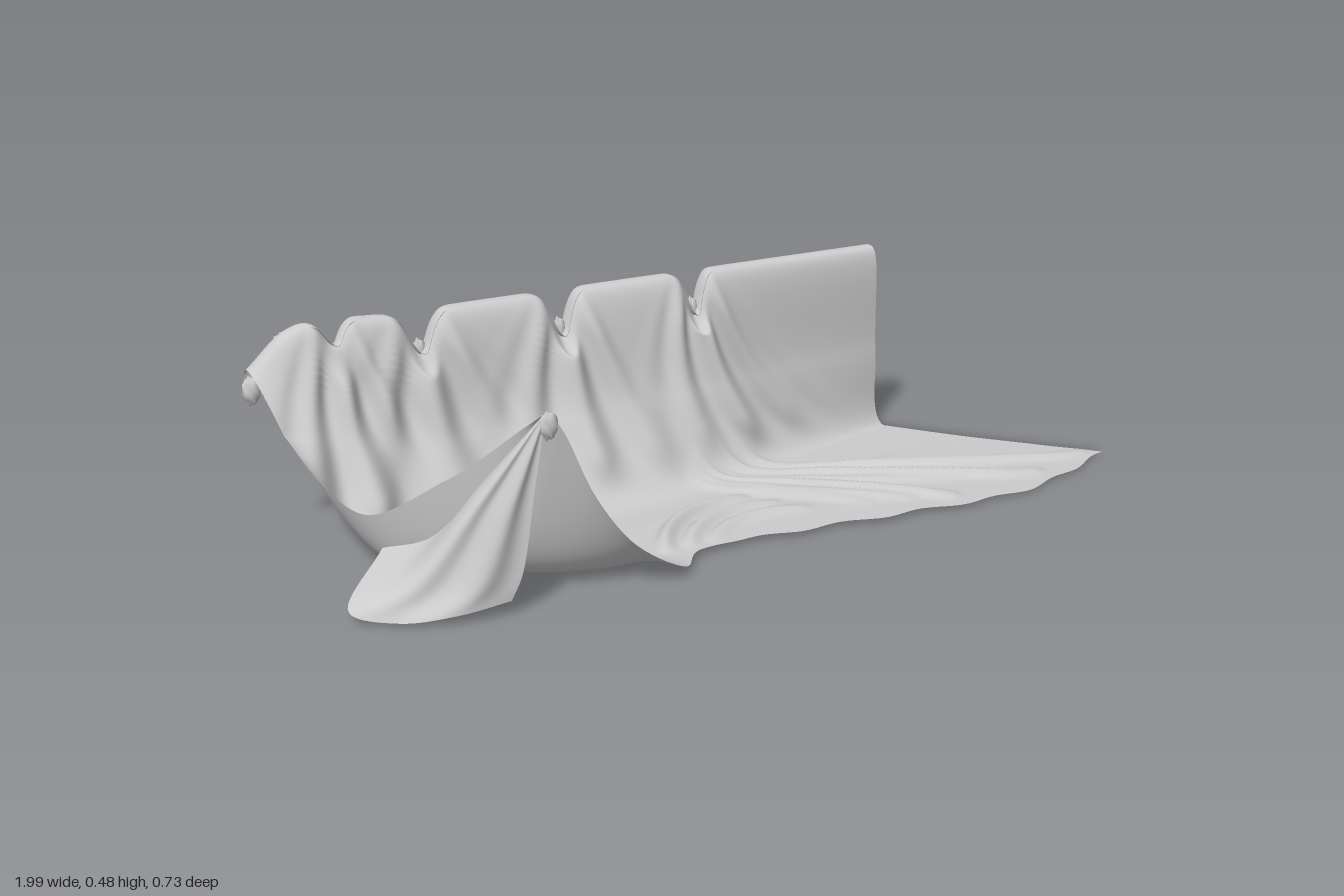
import * as THREE from 'three';

const material = new THREE.MeshStandardMaterial({ color: 0xcccccc, side: THREE.DoubleSide });
const { lerp, clamp, smoothstep } = THREE.MathUtils;
const bump = (d, w) => Math.exp(-(d * d) / (w * w));
const curve = (points) => new THREE.CatmullRomCurve3(points, false, 'centripetal');
const rail = (...points) => curve(points.map((p) => new THREE.Vector3(...p)));

// Surface through guide rails that all run the same way, with an optional rule moving each point
function loft(name, rails, nu, nv, rule) {
  const positions = [], index = [];
  for (let i = 0; i <= nu; i++) {
    const across = curve(rails.map((r) => r.getPoint(i / nu)));
    for (let j = 0; j <= nv; j++) {
      const p = across.getPoint(j / nv);
      if (rule) rule(p, i / nu, j / nv);
      positions.push(p.x, Math.max(0, p.y), p.z);
      if (i < nu && j < nv) {
        const a = i * (nv + 1) + j, b = a + nv + 1;
        index.push(a, a + 1, b, b, a + 1, b + 1);
      }
    }
  }
  const g = new THREE.BufferGeometry();
  g.setAttribute('position', new THREE.Float32BufferAttribute(positions, 3));
  g.setIndex(index);
  g.computeVertexNormals();
  const mesh = new THREE.Mesh(g, material);
  mesh.name = name;
  return mesh;
}

// Gathered places along the top edge: x, width, depth
const gathers = [[-0.79, 0.035, 0.05], [-0.59, 0.045, 0.09], [-0.24, 0.04, 0.1], [0.12, 0.035, 0.1]];

// Curved crease on the floor, bowed to one side, as a list of points
function crease(x1, z1, x2, z2, bow, height) {
  const a = new THREE.Vector2(x1, z1), c = new THREE.Vector2(x2, z2);
  const b = new THREE.Vector2((x1 + x2) / 2 - bow * (z2 - z1), (z1 + z2) / 2 + bow * (x2 - x1));
  return { points: new THREE.QuadraticBezierCurve(a, b, c).getPoints(10), height };
}

// Creases: a fan running from the last gather to the front hem, then arcs round the front corner
const creases = [];
for (let i = 0; i < 8; i++) {
  creases.push(crease(0.02 + 0.018 * i, -0.12 - 0.014 * i, 0.28 + 0.095 * i, 0.2 + 0.04 * (i % 3) - 0.006 * i, 0.06 + 0.05 * (i % 2), 0.014 + 0.005 * (i % 3)));
}
for (let i = 0; i < 3; i++) {
  creases.push(crease(-0.27 + 0.06 * i, 0.22, 0.05 + 0.04 * i, 0.02 + 0.07 * i, -0.3, 0.024 - 0.005 * i));
}

// Height of a crease above a floor point, tapering towards both ends
function creaseLift(p, { points, height }) {
  let best = 0;
  for (let i = 0; i < 10; i++) {
    const a = points[i], dx = points[i + 1].x - a.x, dz = points[i + 1].y - a.y;
    const t = clamp(((p.x - a.x) * dx + (p.z - a.y) * dz) / (dx * dx + dz * dz), 0, 1);
    const d = Math.hypot(p.x - a.x - t * dx, p.z - a.y - t * dz);
    best = Math.max(best, bump(d, 0.02) * Math.sqrt(Math.sin(Math.PI * (0.05 + 0.09 * (i + t)))));
  }
  return best * height;
}

// Straight rail along the top edge, set back and lowered for the lip
const topRail = (y, z) => rail([-0.975, y - 0.08, z], [-0.87, y, z], [-0.65, y, z], [-0.32, y, z], [0, y, z], [0.33, y, z], [0.66, y, z]);

function drape() {
  const rails = [
    topRail(0.415, -0.345), // lip folded over the back
    topRail(0.465, -0.335),
    topRail(0.465, -0.29),
    // middle of the wall
    rail([-0.945, 0.27, -0.2], [-0.67, 0.2, -0.225], [-0.33, 0.2, -0.225], [0, 0.2, -0.22], [0.32, 0.2, -0.26], [0.67, 0.2, -0.285]),
    // foot of the wall
    rail([-0.905, 0.1, -0.11], [-0.68, 0.015, -0.1], [-0.35, 0.015, -0.09], [0, 0.015, -0.11], [0.33, 0.01, -0.19], [0.68, 0, -0.26]),
    // floor
    rail([-0.86, 0.03, 0.01], [-0.65, 0.01, 0.06], [-0.36, 0.005, 0.08], [0, 0.005, 0.02], [0.38, 0.005, 0], [0.8, 0, -0.07]),
    rail([-0.745, 0.17, 0.18], [-0.62, 0.06, 0.23], [-0.4, 0.015, 0.25], [-0.16, 0.01, 0.14], [0.34, 0.01, 0.16], [0.91, 0, 0.08]),
    // front edge, falling from the peak
    rail([-0.63, 0.4, 0.345], [-0.61, 0.41, 0.35], [-0.58, 0.37, 0.355], [-0.51, 0.22, 0.355], [-0.42, 0.1, 0.355], [-0.3, 0.025, 0.35],
      [-0.21, 0.015, 0.265], [0.06, 0.01, 0.275], [0.3, 0.01, 0.31], [0.65, 0.005, 0.33], [1, 0.003, 0.22]),
  ];
  return loft('drapedCloth', rails, 270, 120, (p, u, v) => {
    const { x, y, z } = p;
    const drop = 1 - Math.min(1, y / 0.46);
    // Notches in the top edge and the pleats that hang from them
    if (z < -0.06) for (const [gx, w, depth] of gathers) {
      const spread = w * (1 + 3 * drop);
      const off = x - gx - (gx > 0 ? 0.16 : 0.03) * drop * drop;
      const hang = smoothstep(y, 0.01, 0.12) * (1 - 0.8 * smoothstep(y, 0.36, 0.46));
      p.y -= depth * bump(x - gx, w * 0.8) * smoothstep(y, 0.3, 0.46);
      p.z += hang * bump(off, spread * 1.5) * (0.012 + 0.02 * Math.cos(off / spread * 5));
      if (z < -0.295) p.z += 0.025 * bump(x - gx, w);
    }
    // Raised creases lying on the floor
    const lift = Math.max(...creases.map((c) => creaseLift(p, c)));
    p.y += lift * (1 - smoothstep(y, 0.03, 0.16));
    // Side rim turned up between the wall and the peak
    p.y += 0.115 * Math.max(0, 1 - u / 0.08) ** 2 * Math.sin(Math.PI * clamp((v * 7 - 3) / 4, 0, 1));
    // Uneven front hem
    p.z += 0.008 * Math.sin(x * 31) * smoothstep(v, 0.85, 1) * smoothstep(x, -0.2, 0);
  });
}

// Loose end hanging from the front peak to the floor
function tail() {
  const peak = [-0.615, 0.41, 0.352];
  const hem = [[-0.85, 0.09, 0.07], [-0.975, 0.02, 0.19], [-0.9, 0.005, 0.26], [-0.8, 0.02, 0.32], [-0.69, 0.03, 0.33]];
  const ring = (t, sag) => rail(...hem.map((h) => h.map((v, k) => lerp(peak[k], v, t) - (k === 1 ? sag : 0))));
  const rails = [ring(0.03, 0), ring(0.35, 0.03), ring(0.7, 0.06), ring(1, 0)];
  return loft('hangingTail', rails, 40, 24, (p, u, v) => {
    p.z -= 0.024 * Math.sin(u * Math.PI * 5) * v * (1 - v);
  });
}

// Small crumpled bunch of cloth
function bunch(name, x, y, z, sx, sy, sz) {
  const g = new THREE.SphereGeometry(1, 16, 12);
  const a = g.attributes.position;
  for (let i = 0; i < a.count; i++) {
    const p = new THREE.Vector3().fromBufferAttribute(a, i);
    p.multiplyScalar(0.85 + 0.15 * Math.sin(7 * p.x + 3 * p.y) * Math.cos(6 * p.z));
    a.setXYZ(i, p.x * sx, p.y * sy, p.z * sz);
  }
  g.computeVertexNormals();
  const mesh = new THREE.Mesh(g, material);
  mesh.name = name;
  mesh.position.set(x, y, z);
  return mesh;
}

export function createModel() {
  const group = new THREE.Group();
  group.name = 'drapery';
  group.add(drape(), tail());
  group.add(bunch('peakBunch', -0.61, 0.385, 0.352, 0.022, 0.032, 0.014));
  group.add(bunch('cornerBunch', -0.975, 0.35, -0.3, 0.022, 0.035, 0.02));
  group.add(bunch('lipBunch', -0.86, 0.435, -0.345, 0.05, 0.025, 0.025));
  for (const [x] of gathers) group.add(bunch('gatherBunch', x, 0.365, -0.3, 0.02, 0.05, 0.016));
  return group;
}
